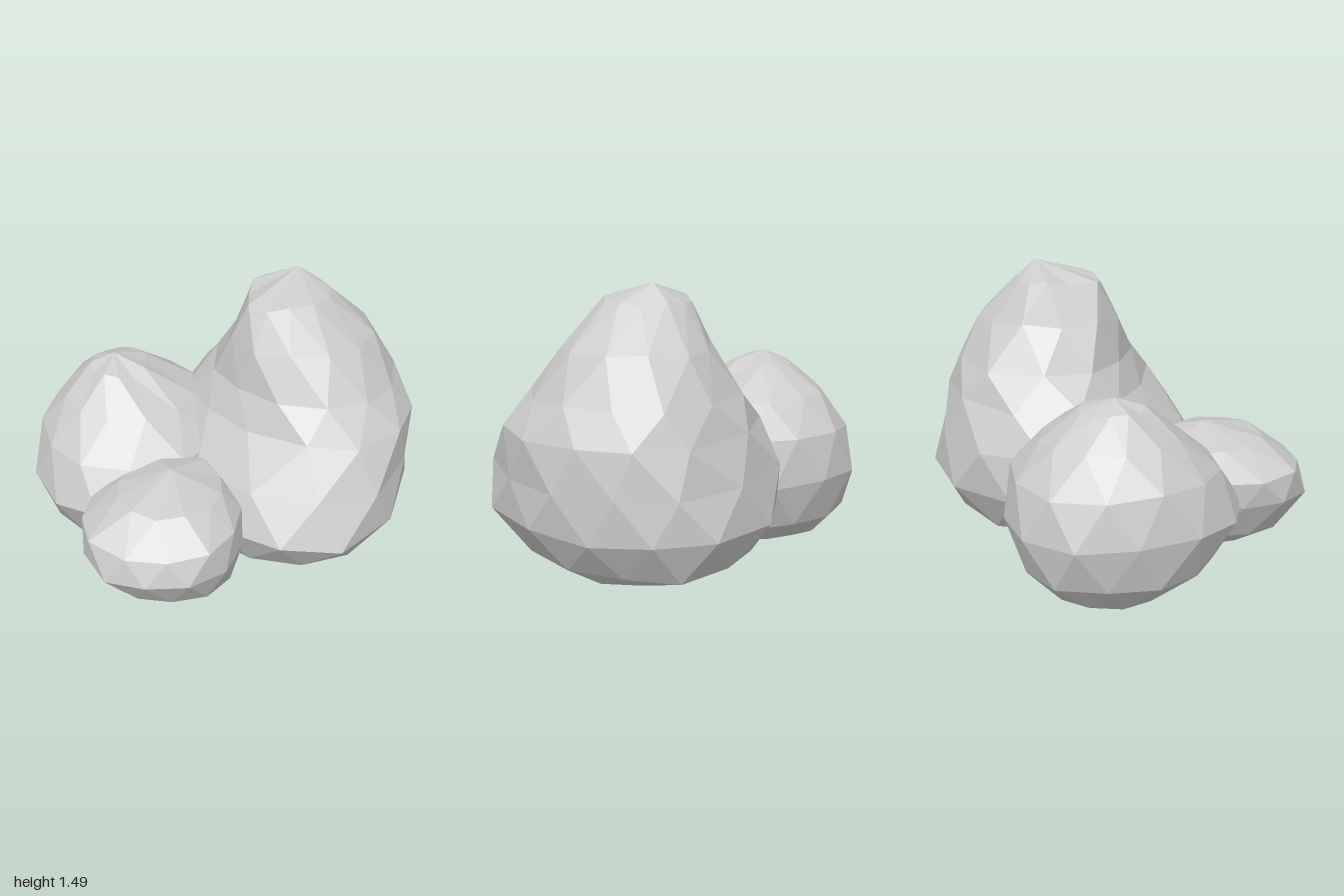
import * as THREE from 'three';

const SIDES = 12;

function seeded(seed) {
  return () => {
    seed = (seed * 16807) % 2147483647;
    return seed / 2147483647 - 0.5;
  };
}

// Faceted rock lofted through staggered rings, listed from bottom to top.
// Ring: [y, xMin, xMax, zMin, zMax, centreX, centreZ, corners], where corners
// swells or pinches the four diagonals in the order (+x+z, -x+z, -x-z, +x-z).
function rock(name, rings, bottom, top, seed, material) {
  const rand = seeded(seed);
  const rows = rings.map(([y, x0, x1, z0, z1, cx, cz, corners], r) => {
    const row = [];
    for (let i = 0; i < SIDES; i++) {
      const a = ((i + (r % 2) * 0.5) / SIDES) * Math.PI * 2;
      const c = Math.cos(a), s = Math.sin(a);
      const corner = corners[Math.floor(a / (Math.PI / 2) + 1e-6) % 4];
      const k = (1.015 + 0.025 * rand()) * (1 + corner * Math.sin(2 * a) ** 2);
      row.push([
        cx + c * k * (c > 0 ? x1 - cx : cx - x0),
        y + 0.03 * rand(),
        cz + s * k * (s > 0 ? z1 - cz : cz - z0),
      ]);
    }
    return row;
  });

  const pos = [];
  const tri = (a, b, c) => pos.push(...a, ...b, ...c);
  const last = rows[rows.length - 1];
  for (let i = 0; i < SIDES; i++) {
    const j = (i + 1) % SIDES;
    for (let r = 0; r < rows.length - 1; r++) {
      const b = rows[r], t = rows[r + 1];
      if (r % 2 === 0) {
        tri(b[i], t[i], b[j]);
        tri(b[j], t[i], t[j]);
      } else {
        tri(b[i], t[j], b[j]);
        tri(b[i], t[i], t[j]);
      }
    }
    tri(bottom, rows[0][i], rows[0][j]);
    tri(last[i], top, last[j]);
  }

  const geometry = new THREE.BufferGeometry();
  geometry.setAttribute('position', new THREE.Float32BufferAttribute(pos, 3));
  geometry.computeVertexNormals();
  const mesh = new THREE.Mesh(geometry, material);
  mesh.name = name;
  return mesh;
}

export function createModel() {
  const group = new THREE.Group();
  group.name = 'rockCluster';
  const stone = new THREE.MeshStandardMaterial({ color: 0xcccccc, flatShading: true });

  // Tall boulder: broad base, shoulder ledge at the back, narrow square peak
  group.add(rock('tallBoulder', [
    [0.07, 0.0, 0.68, -0.52, 0.2, 0.38, -0.15, [0.03, 0, 0.03, 0]],
    [0.18, -0.18, 0.85, -0.8, 0.4, 0.39, -0.2, [0.07, 0, 0.03, -0.04]],
    [0.38, -0.31, 0.97, -0.92, 0.52, 0.42, -0.25, [0.1, 0, 0.04, -0.08]],
    [0.60, -0.31, 0.98, -0.88, 0.42, 0.44, -0.25, [0.08, -0.05, 0.08, -0.07]],
    [0.82, -0.18, 0.98, -0.82, 0.26, 0.5, -0.23, [0.04, -0.13, 0.13, -0.1]],
    [0.98, -0.06, 0.89, -0.77, 0.16, 0.47, -0.25, [0, -0.07, 0.12, -0.1]],
    [1.2, 0.05, 0.75, -0.67, 0.05, 0.38, -0.28, [-0.03, 0.14, -0.03, -0.06]],
    [1.4, 0.13, 0.53, -0.47, -0.06, 0.28, -0.29, [0, 0.27, 0.05, 0]],
  ], [0.4, 0.02, -0.12], [0.35, 1.49, -0.37], 11, stone));

  // Rounded boulder beside it
  group.add(rock('roundBoulder', [
    [0.06, -0.82, -0.2, -0.44, 0.16, -0.53, -0.14, [0, -0.06, 0.05, 0]],
    [0.19, -0.95, -0.04, -0.58, 0.36, -0.52, -0.11, [0, -0.03, 0.06, 0]],
    [0.43, -1.0, 0.04, -0.65, 0.5, -0.52, -0.1, [0, 0, 0.06, 0.03]],
    [0.65, -0.95, 0.04, -0.61, 0.39, -0.52, -0.11, [0, 0, 0.05, 0.03]],
    [0.82, -0.83, -0.15, -0.48, 0.2, -0.53, -0.13, [0, 0, 0.03, 0]],
    [0.96, -0.69, -0.4, -0.3, 0.02, -0.55, -0.13, [0, 0, 0, 0]],
  ], [-0.58, 0, -0.2], [-0.57, 1.02, -0.13], 29, stone));

  // Small low boulder in front
  group.add(rock('smallBoulder', [
    [0.1, -0.33, 0.05, 0.25, 0.65, -0.15, 0.46, [0.03, 0.03, 0, 0]],
    [0.2, -0.46, 0.18, 0.12, 0.82, -0.16, 0.5, [0.04, 0.05, 0, 0]],
    [0.38, -0.55, 0.22, 0.06, 0.93, -0.17, 0.52, [0.06, 0.08, 0, -0.02]],
    [0.52, -0.56, 0.21, 0.08, 0.89, -0.17, 0.52, [0.04, 0.08, 0, -0.03]],
    [0.64, -0.41, 0.11, 0.18, 0.72, -0.16, 0.46, [0, 0.02, 0, 0]],
  ], [-0.14, 0.07, 0.45], [-0.15, 0.72, 0.42], 47, stone));

  return group;
}
